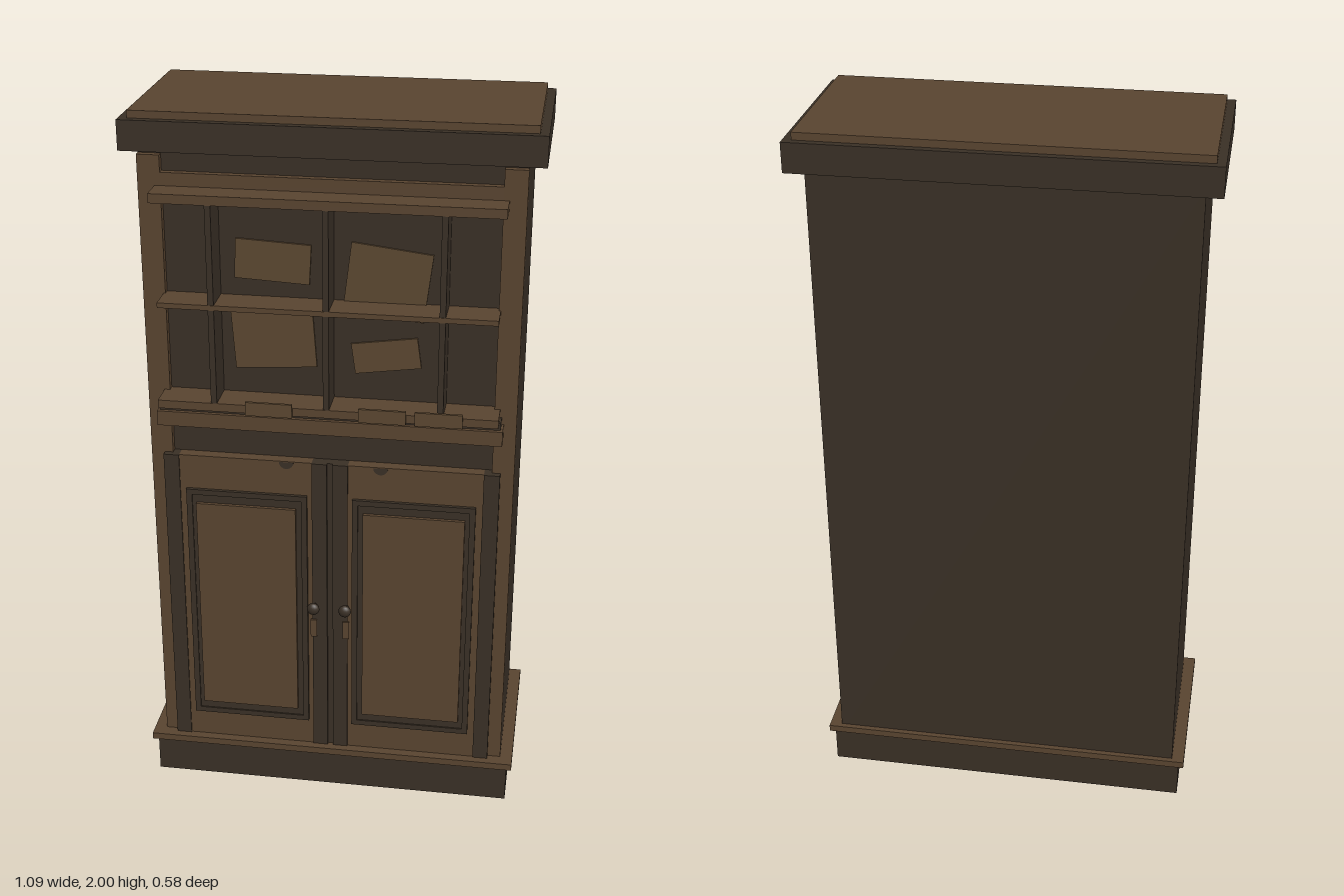
import * as THREE from 'three';

const mat = (name, color) => Object.assign(new THREE.MeshStandardMaterial({ color }), { name });

export function createModel() {
  const light = mat('lightWood', 0x5a4530);
  const dark = mat('darkWood', 0x3a3026);
  const paper = mat('paper', 0x5c4831);
  const root = new THREE.Group();
  root.name = 'cupboard';

  // Box given by its limits on each axis
  const box = (name, m, x0, x1, y0, y1, z0, z1, parent = root) => {
    const mesh = new THREE.Mesh(new THREE.BoxGeometry(x1 - x0, y1 - y0, z1 - z0), m);
    mesh.position.set((x0 + x1) / 2, (y0 + y1) / 2, (z0 + z1) / 2);
    mesh.name = name;
    parent.add(mesh);
    return mesh;
  };

  // Rectangular frame, outer limits and border width
  const ring = (name, m, x0, x1, y0, y1, w, z0, z1, parent) => {
    const s = new THREE.Shape();
    s.moveTo(x0, y0).lineTo(x1, y0).lineTo(x1, y1).lineTo(x0, y1).closePath();
    const h = new THREE.Path();
    h.moveTo(x0 + w, y0 + w).lineTo(x0 + w, y1 - w).lineTo(x1 - w, y1 - w).lineTo(x1 - w, y0 + w).closePath();
    s.holes.push(h);
    const mesh = new THREE.Mesh(new THREE.ExtrudeGeometry(s, { depth: z1 - z0, bevelEnabled: false }), m);
    mesh.position.z = z0;
    mesh.name = name;
    parent.add(mesh);
  };

  // Carcass, plinth and cornice
  box('carcass', dark, -0.5, 0.5, 0.1, 1.91, -0.25, 0.187);
  box('plinth', dark, -0.52, 0.52, 0, 0.11, -0.252, 0.232);
  box('plinthMoulding', light, -0.535, 0.535, 0.11, 0.13, -0.265, 0.243);
  box('cornice', dark, -0.545, 0.545, 1.9, 1.98, -0.29, 0.217);
  box('topBoard', light, -0.522, 0.522, 1.98, 2, -0.27, 0.196);

  // Face frame
  for (const s of [-1, 1]) box('frameStile', light, s * 0.47 - 0.03, s * 0.47 + 0.03, 0.13, 1.89, 0.187, 0.206);
  box('frameTopRail', light, -0.44, 0.44, 1.8, 1.845, 0.187, 0.206);

  // Open rack of pigeonholes
  box('rackTop', light, -0.455, 0.455, 1.785, 1.81, 0.187, 0.28);
  box('rackShelf', light, -0.445, 0.445, 1.503, 1.517, 0.187, 0.28);
  box('rackBottom', light, -0.455, 0.455, 1.217, 1.24, 0.187, 0.28);
  for (const x of [-0.302, 0, 0.302]) box('rackDivider', dark, x - 0.008, x + 0.008, 1.24, 1.785, 0.187, 0.279);
  box('ledgeGap', dark, -0.46, 0.46, 1.195, 1.217, 0.187, 0.245);
  box('ledge', light, -0.466, 0.466, 1.155, 1.197, 0.187, 0.256);

  // Pinned sheets: x, y, width, height, tilt in degrees
  const sheets = [
    [-0.153, 1.615, 0.2, 0.108, -3], [0.15, 1.572, 0.215, 0.188, -7],
    [-0.153, 1.4, 0.22, 0.165, 4], [0.148, 1.368, 0.178, 0.085, 8],
  ];
  for (const [x, y, w, h, a] of sheets) {
    box('sheet', paper, x - w / 2, x + w / 2, y - h / 2, y + h / 2, 0.187, 0.193).rotation.z = a * Math.PI / 180;
  }

  // Label cards on the rack edge
  for (const x of [-0.153, 0.15, 0.299]) box('labelCard', paper, x - 0.063, x + 0.063, 1.214, 1.252, 0.28, 0.288);

  // Doors, mirrored about the middle
  for (const s of [-1, 1]) {
    const door = new THREE.Group();
    door.name = s > 0 ? 'leftDoor' : 'rightDoor';
    const bx = (name, m, a, b, ...rest) => box(name, m, Math.min(s * a, s * b), Math.max(s * a, s * b), ...rest, door);
    bx('doorBoard', light, 0.05, 0.42, 0.132, 1.052, 0.187, 0.22);
    bx('outerStile', dark, 0.42, 0.463, 0.132, 1.052, 0.187, 0.224);
    bx('innerStile', dark, 0.008, 0.05, 0.132, 1.052, 0.187, 0.224);
    const x0 = s > 0 ? 0.063 : -0.402;
    ring('panelMoulding', dark, x0, x0 + 0.339, 0.215, 0.952, 0.016, 0.219, 0.23, door);
    bx('panelBorder', dark, 0.075, 0.39, 0.227, 0.94, 0.2, 0.226);
    bx('panel', light, 0.094, 0.374, 0.257, 0.912, 0.21, 0.236);
    bx('keyPlate', light, 0.037, 0.055, 0.505, 0.56, 0.222, 0.229);

    const knob = new THREE.Mesh(new THREE.SphereGeometry(0.018, 16, 10), dark);
    knob.scale.z = 0.7;
    knob.position.set(s * 0.045, 0.605, 0.243);
    knob.name = 'knob';
    const stem = new THREE.Mesh(new THREE.CylinderGeometry(0.009, 0.009, 0.02, 12), dark);
    stem.rotation.x = Math.PI / 2;
    stem.position.set(s * 0.045, 0.605, 0.23);
    stem.name = 'knobStem';

    // Half-round notch at the top of the door
    const notch = new THREE.Mesh(new THREE.CylinderGeometry(0.02, 0.02, 0.004, 16, 1, false, -Math.PI / 2, Math.PI), dark);
    notch.rotation.x = Math.PI / 2;
    notch.position.set(s > 0 ? 0.14 : -0.12, 1.051, 0.221);
    notch.name = 'doorNotch';
    door.add(knob, stem, notch);
    root.add(door);
  }
  box('doorSeam', dark, -0.008, 0.008, 0.132, 1.052, 0.187, 0.215);

  return root;
}
